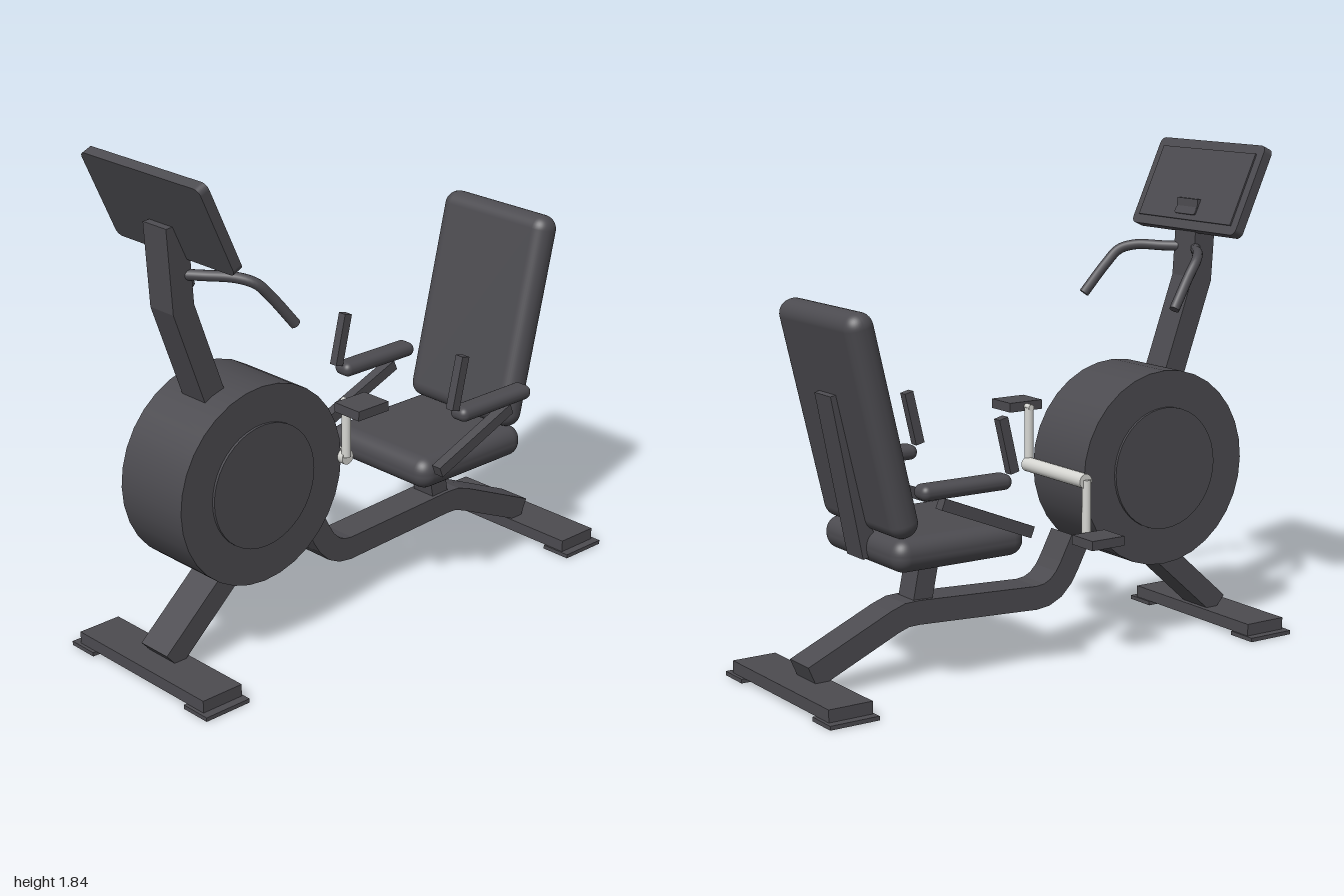
import * as THREE from 'three';
import { RoundedBoxGeometry } from 'three/addons/geometries/RoundedBoxGeometry.js';

const dark = new THREE.MeshStandardMaterial({ color: 0x4c4b50 });
dark.name = 'charcoal';
const steel = new THREE.MeshStandardMaterial({ color: 0xd6d6d2 });
steel.name = 'pale steel';

export function createModel() {
  const model = new THREE.Group();
  model.name = 'recumbentBike';

  function add(name, geometry, x = 0, y = 0, z = 0, material = dark, tilt = 0, parent = model) {
    const mesh = new THREE.Mesh(geometry, material);
    mesh.name = name;
    mesh.position.set(x, y, z);
    mesh.rotation.x = tilt;
    parent.add(mesh);
    return mesh;
  }
  const box = (w, h, d) => new THREE.BoxGeometry(w, h, d);

  // Rectangular beam following a path of [z, y] points, centred on x = 0
  function beam(path, thickness, width) {
    const pts = path.map(p => new THREE.Vector2(p[0], p[1]));
    const upper = [], lower = [];
    pts.forEach((p, i) => {
      const a = pts[Math.max(i - 1, 0)], b = pts[Math.min(i + 1, pts.length - 1)];
      const into = (i ? p.clone().sub(a) : b.clone().sub(p)).normalize();
      const out = (i < pts.length - 1 ? b.clone().sub(p) : p.clone().sub(a)).normalize();
      const dir = into.clone().add(out).normalize();
      const n = new THREE.Vector2(-dir.y, dir.x).multiplyScalar(thickness / 2 / dir.dot(out));
      upper.push(p.clone().add(n));
      lower.unshift(p.clone().sub(n));
    });
    const g = new THREE.ExtrudeGeometry(new THREE.Shape([...upper, ...lower]), { depth: width, bevelEnabled: false });
    return g.translate(0, 0, -width / 2).rotateY(-Math.PI / 2);
  }

  // Feet: cross beams on flat end pads
  for (const s of [1, -1]) {
    const end = s > 0 ? 'front' : 'rear';
    add(end + 'FootBeam', box(0.68, 0.045, 0.17), 0, 0.0375, s * 0.902);
    for (const side of [1, -1]) add(end + 'FootPad', box(0.12, 0.015, 0.19), side * 0.312, 0.0075, s * 0.905);
  }

  // Frame
  add('frontLeg', beam([[0.55, 0.373], [0.895, 0.066]], 0.085, 0.14));
  add('mainFrame', beam([[0.24, 0.415], [0.19, 0.32], [0.165, 0.28], [0.13, 0.245], [0.09, 0.226],
    [0.045, 0.22], [-0.46, 0.245], [-0.51, 0.243], [-0.56, 0.226], [-0.89, 0.08]], 0.088, 0.13));
  add('seatPost', beam([[-0.397, 0.47], [-0.448, 0.22]], 0.078, 0.1));
  add('column', beam([[0.64, 0.9], [0.798, 1.335], [0.818, 1.63]], 0.09, 0.12));

  // Flywheel housing with raised side discs
  add('flywheelHousing', new THREE.CylinderGeometry(0.365, 0.365, 0.32, 32).rotateZ(Math.PI / 2), 0, 0.66, 0.55);
  add('flywheelDiscs', new THREE.CylinderGeometry(0.228, 0.228, 0.34, 40).rotateZ(Math.PI / 2), 0, 0.66, 0.55);

  // Cranks and pedals
  add('crankAxle', new THREE.CylinderGeometry(0.027, 0.027, 0.37, 20).rotateZ(Math.PI / 2), 0, 0.66, 0.175, steel);
  for (const s of [1, -1]) {
    add('crankArm', new THREE.CylinderGeometry(0.017, 0.017, 0.21, 16), s * 0.182, 0.665 + s * 0.105, 0.18, steel);
    add('pedalSpindle', new THREE.CylinderGeometry(0.012, 0.012, 0.06, 12).rotateZ(Math.PI / 2),
      s * 0.195, 0.667 + s * 0.208, 0.18, steel);
    add('pedal', box(0.122, 0.035, 0.143), s * 0.258, 0.667 + s * 0.21, 0.178);
  }

  // Seat and backrest
  add('seatCushion', new RoundedBoxGeometry(0.525, 0.12, 0.535, 5, 0.055), 0, 0.505, -0.398);
  add('backrest', new RoundedBoxGeometry(0.525, 0.81, 0.11, 5, 0.053), 0, 0.96, -0.7, dark, -0.238);
  add('backrestBracket', beam([[-0.77, 1.055], [-0.65, 0.472]], 0.06, 0.11));

  // Armrests with supports and hand grips
  for (const s of [1, -1]) {
    const arm = new THREE.Group();
    arm.name = s > 0 ? 'leftArmrest' : 'rightArmrest';
    arm.position.x = s * 0.306;
    model.add(arm);
    add('armPad', new RoundedBoxGeometry(0.082, 0.055, 0.365, 5, 0.026), 0, 0.739, -0.43, dark, 0, arm);
    add('armSupport', beam([[-0.155, 0.545], [-0.522, 0.692]], 0.042, 0.04), 0, 0, 0, dark, 0, arm);
    add('armGrip', beam([[-0.228, 0.765], [-0.275, 0.96]], 0.036, 0.034), 0, 0, 0, dark, 0, arm);
  }

  // Handlebars
  for (const s of [1, -1]) {
    const path = new THREE.CatmullRomCurve3([[0.03, 1.45, 0.79], [0.1, 1.45, 0.735], [0.185, 1.45, 0.675],
      [0.232, 1.43, 0.63], [0.25, 1.375, 0.58], [0.275, 1.268, 0.498]]
      .map(p => new THREE.Vector3(s * p[0], p[1], p[2])));
    add('handlebar', new THREE.TubeGeometry(path, 32, 0.019, 12), 0, 0, 0);
    // Flat end cap
    const cap = add('handlebarEnd', new THREE.CircleGeometry(0.019, 12), ...path.getPoint(1).toArray());
    cap.lookAt(path.getPoint(1).add(path.getTangent(1)));
  }

  // Console: round-cornered slab with a thin screen facing the rider
  const roundedSlab = (w, h, d, r) => {
    const shape = new THREE.Shape(), x = w / 2, y = h / 2;
    shape.absarc(x - r, y - r, r, 0, Math.PI / 2);
    shape.absarc(r - x, y - r, r, Math.PI / 2, Math.PI);
    shape.absarc(r - x, r - y, r, Math.PI, Math.PI * 1.5);
    shape.absarc(x - r, r - y, r, Math.PI * 1.5, Math.PI * 2);
    return new THREE.ExtrudeGeometry(shape, { depth: d, bevelEnabled: false, curveSegments: 6 }).translate(0, 0, -d / 2);
  };
  const consoleGroup = new THREE.Group();
  consoleGroup.name = 'console';
  consoleGroup.position.set(0, 1.673, 0.835);
  consoleGroup.rotation.x = 0.43;
  model.add(consoleGroup);
  add('consoleBody', roundedSlab(0.61, 0.35, 0.038, 0.025), 0, 0, 0, dark, 0, consoleGroup);
  add('screen', box(0.54, 0.28, 0.008), 0, 0, -0.021, dark, 0, consoleGroup);
  add('consoleButton', roundedSlab(0.12, 0.03, 0.009, 0.01), 0, -0.105, -0.026, dark, 0, consoleGroup);

  return model;
}
